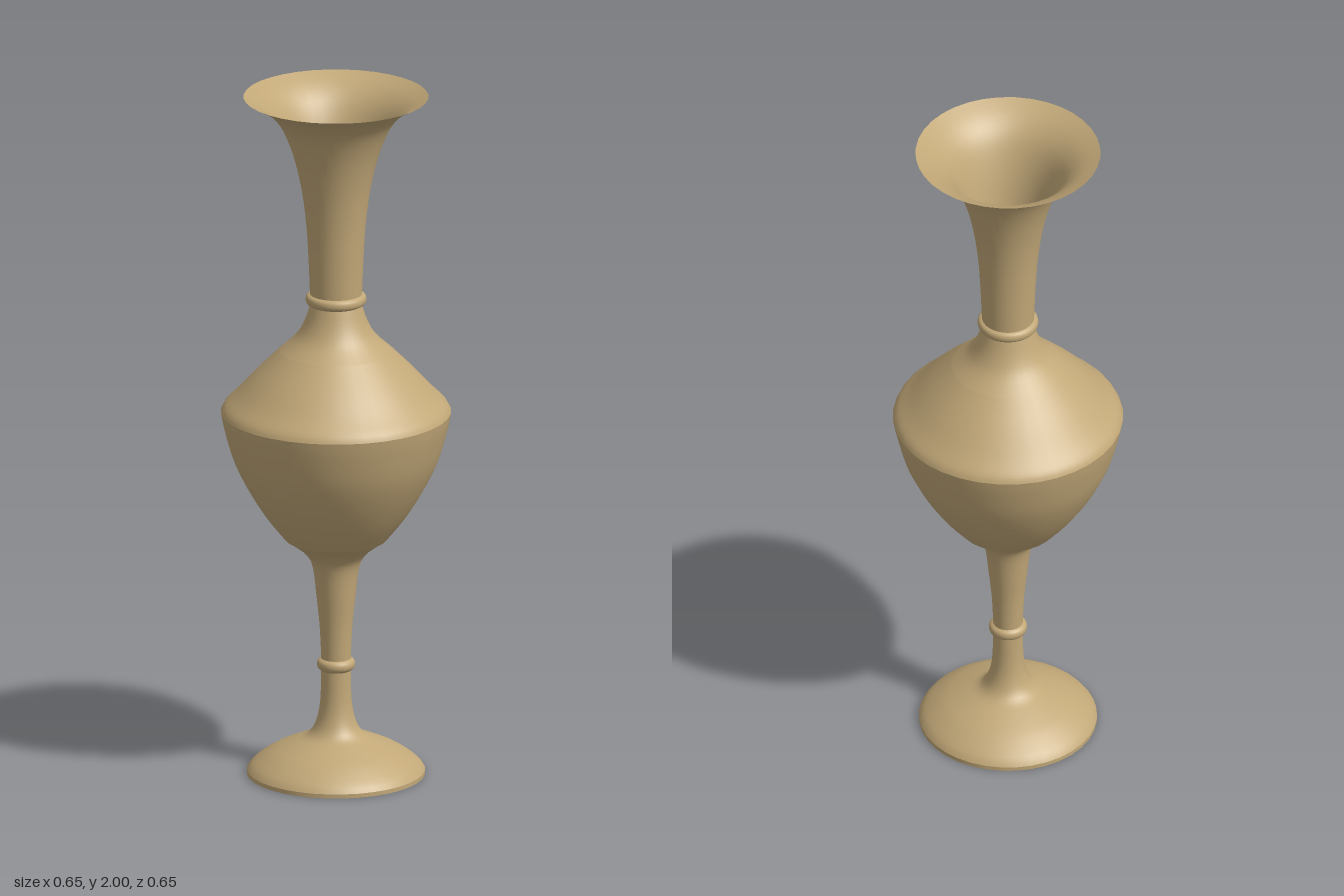
import * as THREE from 'three';

export function createModel() {
  const vase = new THREE.Group();
  vase.name = 'vase';
  const clay = new THREE.MeshStandardMaterial({ color: 0xc2a878, side: THREE.DoubleSide });
  clay.name = 'tan clay';

  // Each part is a thin turned shell; separate shells keep the joints crisp
  function turn(name, profile) {
    const points = profile.map(([r, y]) => new THREE.Vector2(r, y));
    const mesh = new THREE.Mesh(new THREE.LatheGeometry(points, 36), clay);
    mesh.name = name;
    vase.add(mesh);
  }

  // Smooth curve through a few points, for the flowing parts
  function smooth(profile, steps) {
    const curve = new THREE.SplineCurve(profile.map(([r, y]) => new THREE.Vector2(r, y)));
    return curve.getPoints(steps).map((p) => [p.x, p.y]);
  }

  // Foot
  turn('footUnderside', [[0, 0], [0.252, 0]]);
  turn('footEdge', [[0.252, 0], [0.252, 0.012]]);
  turn('foot', smooth([[0.252, 0.012], [0.235, 0.033], [0.19, 0.065], [0.15, 0.085], [0.115, 0.1]], 12));

  // Stem with its small ring
  turn('lowerStem', smooth([[0.115, 0.1], [0.08, 0.117], [0.058, 0.15], [0.045, 0.21], [0.042, 0.305]], 14));
  turn('stemRing', smooth([[0.042, 0.305], [0.051, 0.312], [0.054, 0.323], [0.051, 0.334], [0.042, 0.34]], 10));
  turn('upperStem', smooth([[0.042, 0.34], [0.046, 0.43], [0.055, 0.52], [0.066, 0.61], [0.085, 0.648],
    [0.115, 0.675], [0.145, 0.695]], 20));

  // Belly and shoulder
  turn('belly', smooth([[0.145, 0.695], [0.2, 0.765], [0.25, 0.845], [0.29, 0.93], [0.316, 1.02], [0.326, 1.07]], 20));
  turn('shoulder', smooth([[0.326, 1.07], [0.315, 1.09], [0.28, 1.125], [0.225, 1.185], [0.16, 1.25]], 14));
  turn('collar', smooth([[0.16, 1.25], [0.115, 1.292], [0.09, 1.335], [0.073, 1.385]], 12));

  // Neck ring and flared neck
  turn('neckRing', smooth([[0.073, 1.385], [0.083, 1.391], [0.086, 1.402], [0.083, 1.413], [0.074, 1.418]], 10));
  turn('neck', smooth([[0.074, 1.418], [0.078, 1.52], [0.085, 1.63], [0.1, 1.74], [0.125, 1.84],
    [0.16, 1.92], [0.205, 1.968], [0.262, 2]], 28));

  return vase;
}
